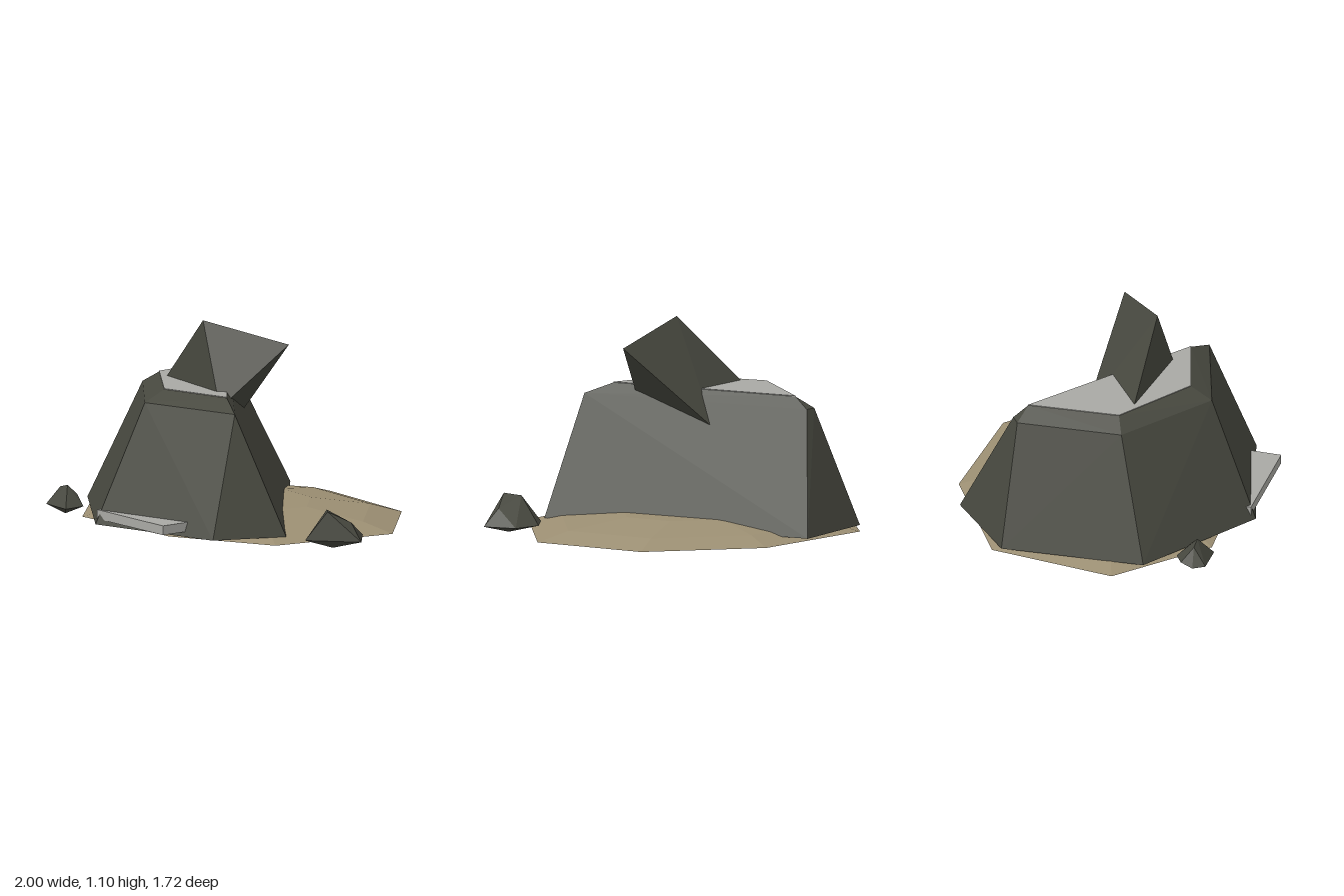
import * as THREE from 'three';
import { ConvexGeometry } from 'three/addons/geometries/ConvexGeometry.js';

const material = (name, color) => {
  const m = new THREE.MeshStandardMaterial({ color });
  m.name = name;
  return m;
};

// place [x, z] outline points at height y
const level = (y, outline) => outline.map(([x, z]) => [x, y, z]);

// faceted convex solid around a few corner points
function facetedSolid(name, points, mat) {
  const geometry = new ConvexGeometry(points.map((p) => new THREE.Vector3(...p)));
  const mesh = new THREE.Mesh(geometry, mat);
  mesh.name = name;
  return mesh;
}

export function createModel() {
  const darkStone = material('dark stone', 0x47483f);
  const paleStone = material('pale stone', 0xa9a9a4);
  const sand = material('sand', 0x9c8f73);
  const group = new THREE.Group();
  group.name = 'rockOutcrop';

  // low sand mound: one rim outline shrunk inward over three levels
  const rim = [[-0.02, -0.86], [0.61, -0.61], [0.92, -0.07], [0.59, 0.55],
    [-0.02, 0.66], [-0.71, 0.47], [-1.0, -0.07], [-0.71, -0.7]];
  const [cx, cz] = [-0.04, -0.08];
  const mound = [[0.015, 1], [0.06, 0.8], [0.1, 0.42]].flatMap(([y, s]) =>
    level(y, rim.map(([x, z]) => [cx + (x - cx) * s, cz + (z - cz) * s])));
  group.add(facetedSolid('sandMound', mound, sand));

  // tapered main boulder with a bevelled top edge
  const foot = [[-0.28, -0.86], [-0.74, -0.65], [-0.93, 0.1], [-0.46, 0.71], [0.31, 0.73], [0.57, 0.42]];
  const shoulder = [[-0.45, -0.58], [-0.51, -0.56], [-0.65, -0.01], [-0.3, 0.48], [0.28, 0.48]];
  const crown = [[-0.43, -0.5], [-0.55, -0.02], [-0.25, 0.37], [0.16, 0.38]];
  group.add(facetedSolid('mainBoulder',
    [...level(0.04, foot), ...level(0.68, shoulder), ...level(0.74, crown)], darkStone));

  // pale flat top
  group.add(facetedSolid('paleTop', [...level(0.737, crown), ...level(0.744, crown)], paleStone));

  // leaning shard set into the top
  group.add(facetedSolid('leaningShard', [
    [-0.12, 1.1, 0.195], [0.32, 0.99, 0.03], [0.06, 0.66, 0.3],
    [-0.49, 0.69, 0.045], [-0.12, 0.55, -0.175],
  ], darkStone));

  // pale slab poking out at the front foot
  const slab = new THREE.Mesh(new THREE.BoxGeometry(0.57, 0.05, 0.28), paleStone);
  slab.name = 'frontSlab';
  slab.position.set(-0.154, 0.09, 0.637);
  slab.rotation.y = -0.31;
  group.add(slab);

  // loose stones either side
  group.add(facetedSolid('leftStone', [
    [0.83, 0, 0.36], [0.66, 0.05, 0.31], [0.74, 0.05, 0.49], [1.0, 0.045, 0.34],
    [0.9, 0.05, 0.18], [0.75, 0.05, 0.19], [0.77, 0.195, 0.33], [0.83, 0.203, 0.41], [0.92, 0.14, 0.32],
  ], darkStone));
  group.add(facetedSolid('rightStone', [
    [-0.88, 0, 0.38], [-0.98, 0.045, 0.36], [-0.97, 0.05, 0.43], [-0.81, 0.045, 0.48],
    [-0.765, 0.05, 0.38], [-0.85, 0.05, 0.28], [-0.94, 0.06, 0.3],
    [-0.92, 0.14, 0.37], [-0.86, 0.157, 0.39], [-0.82, 0.11, 0.36],
  ], darkStone));

  return group;
}
